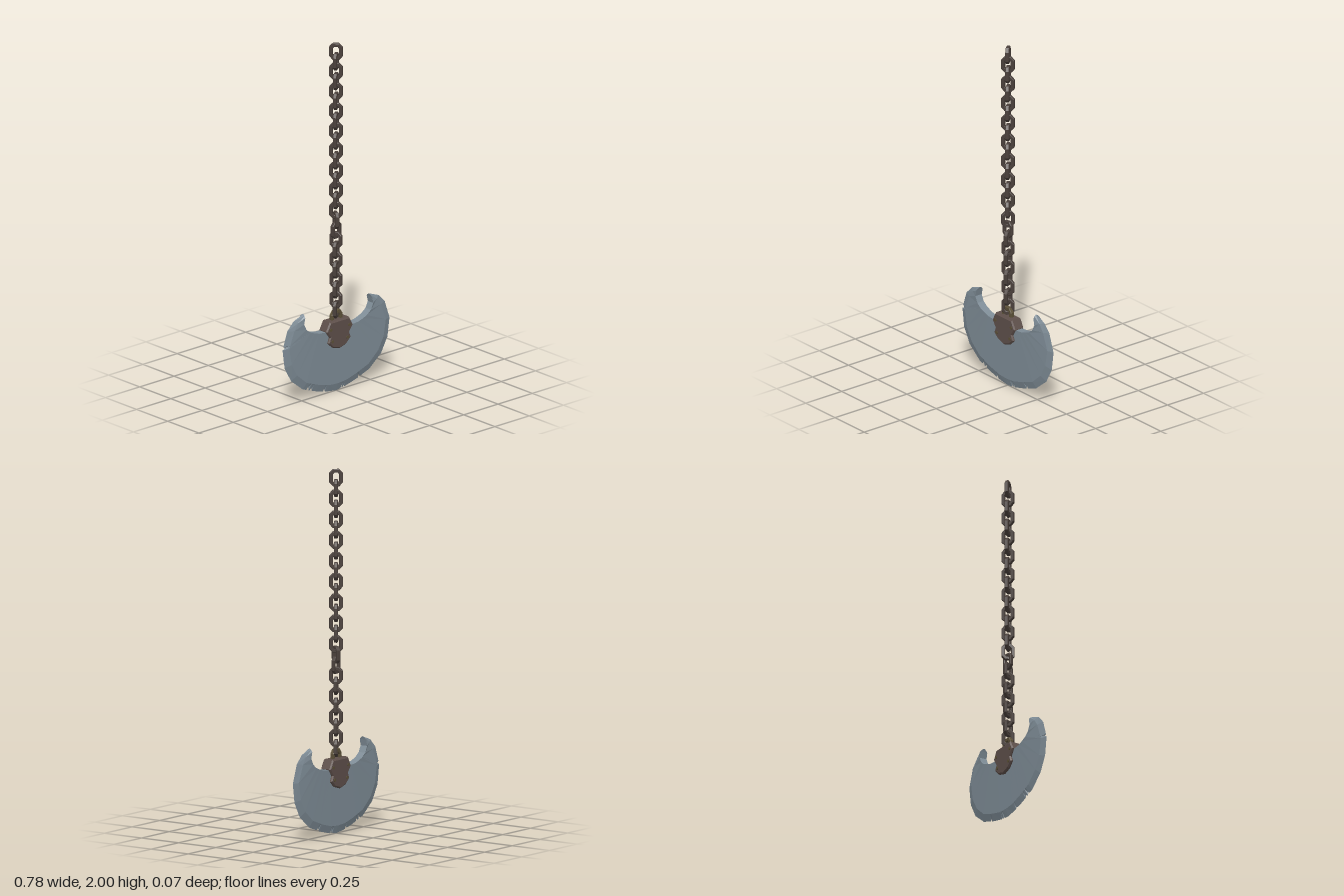
import * as THREE from 'three';

const material = (name, color) => {
  const m = new THREE.MeshStandardMaterial({ color });
  m.name = name;
  return m;
};

const mirrorOutline = (half) => [...half, ...half.slice().reverse().filter((p) => p[0] !== 0).map(([x, y]) => [-x, y])];
const toVectors = (points) => points.map(([x, y]) => new THREE.Vector2(x, y));

// Rectangle with chamfered corners
const octagon = (w, h, c, d) => mirrorOutline([[w - c, -h], [w, -h + d], [w, h - d], [w - c, h]]);

// Chamfered plate centred on z = 0, with an optional hole
function plate(outline, hole, depth, bevel) {
  const shape = new THREE.Shape(toVectors(outline));
  if (hole) shape.holes.push(new THREE.Path(toVectors(hole)));
  const geometry = new THREE.ExtrudeGeometry(shape, {
    depth: depth - 2 * bevel, bevelEnabled: true, bevelSegments: 1,
    bevelSize: bevel, bevelThickness: bevel, bevelOffset: -bevel,
  });
  return geometry.translate(0, 0, bevel - depth / 2);
}

// Half blade from middle to horn: cutting edge, bevel line, inner edge (x, y each)
const STATIONS = [
  [0, 0.005, 0, 0.048, 0, 0.365],
  [0.063, 0.013, 0.06, 0.052, 0.04, 0.365],
  [0.148, 0.035, 0.135, 0.072, 0.075, 0.365],
  [0.243, 0.069, 0.225, 0.105, 0.11, 0.367],
  [0.328, 0.137, 0.295, 0.165, 0.143, 0.37],
  [0.375, 0.222, 0.335, 0.235, 0.175, 0.38],
  [0.39, 0.328, 0.352, 0.33, 0.205, 0.392],
  [0.355, 0.43, 0.315, 0.425, 0.235, 0.415],
  [0.31, 0.476, 0.285, 0.465, 0.252, 0.45],
  [0.238, 0.503, 0.241, 0.495, 0.244, 0.485],
];
// Chips in the cutting edge: position along the blade, depth
const CHIPS = [[-6.1, 0.3], [-2.65, 0.45], [-2.4, 0.3], [-1.3, 0.3], [0.6, 0.4], [0.85, 0.25], [2.2, 0.35]];

function bladeRing(s, chip) {
  const a = Math.abs(s);
  const i = Math.min(Math.floor(a), STATIONS.length - 2);
  const p = STATIONS[i].map((v, k) => THREE.MathUtils.lerp(v, STATIONS[i + 1][k], a - i));
  const side = s < 0 ? -1 : 1;
  const ox = THREE.MathUtils.lerp(p[0], p[2], chip);
  const oy = THREE.MathUtils.lerp(p[1], p[3], chip);
  return [
    [side * p[4], p[5], 0.022], [side * p[2], p[3], 0.013], [side * ox, oy, 0],
    [side * p[2], p[3], -0.013], [side * p[4], p[5], -0.022],
  ];
}

function bladeGeometry() {
  const samples = [];
  for (let s = -9; s <= 9; s++) samples.push([s, 0]);
  for (const [s, depth] of CHIPS) samples.push([s - 0.08, 0], [s - 0.03, depth], [s + 0.04, depth * 0.8], [s + 0.08, 0]);
  samples.sort((a, b) => a[0] - b[0]);
  const rings = samples.map(([s, chip]) => bladeRing(s, chip));
  const positions = [];
  const triangle = (a, b, c) => positions.push(...a, ...b, ...c);
  for (let i = 0; i < rings.length - 1; i++) {
    for (let j = 0; j < 5; j++) {
      const k = (j + 1) % 5;
      triangle(rings[i][j], rings[i][k], rings[i + 1][k]);
      triangle(rings[i][j], rings[i + 1][k], rings[i + 1][j]);
    }
  }
  // Horn tips
  const first = rings[0], last = rings[rings.length - 1];
  for (let k = 1; k < 4; k++) {
    triangle(first[0], first[k + 1], first[k]);
    triangle(last[0], last[k], last[k + 1]);
  }
  const geometry = new THREE.BufferGeometry();
  geometry.setAttribute('position', new THREE.Float32BufferAttribute(positions, 3));
  geometry.computeVertexNormals();
  return geometry;
}

export function createModel() {
  const model = new THREE.Group();
  model.name = 'chainBlade';
  const steel = material('blueGreySteel', 0x7f8d97);
  const iron = material('darkIron', 0x4a403b);
  const hubMetal = material('brownHubMetal', 0x5e4f4a);
  const bronze = material('agedBronze', 0x5c5138);
  const add = (parent, name, geometry, mat) => {
    const mesh = new THREE.Mesh(geometry, mat);
    mesh.name = name;
    parent.add(mesh);
    return mesh;
  };

  add(model, 'blade', bladeGeometry(), steel);

  // Clamp holding the blade
  const hubOutline = mirrorOutline([
    [0, 0.253], [0.05, 0.268], [0.083, 0.3], [0.071, 0.33], [0.097, 0.368], [0.07, 0.418],
  ]);
  add(model, 'hub', plate(hubOutline, null, 0.066, 0.007), hubMetal);

  // Rivets on both faces
  const rivetGeometry = new THREE.CylinderGeometry(0.009, 0.009, 0.072, 8).rotateX(Math.PI / 2);
  for (const x of [-1, 1]) {
    for (const [rx, ry] of [[0.067, 0.375], [0.055, 0.306]]) {
      add(model, 'rivet', rivetGeometry, bronze).position.set(x * rx, ry, 0);
    }
  }

  // Shackle on top of the hub
  const shackle = add(model, 'shackle',
    plate(octagon(0.04, 0.045, 0.018, 0.025), octagon(0.021, 0.024, 0.009, 0.012), 0.022, 0.003), bronze);
  shackle.position.y = 0.424;

  // Chain of alternating links with a twist in the lower part
  const chain = new THREE.Group();
  chain.name = 'chain';
  model.add(chain);
  const linkGeometry = plate(octagon(0.036, 0.047, 0.019, 0.02), octagon(0.017, 0.028, 0.008, 0.01), 0.02, 0.003);
  for (let i = 0; i < 27; i++) {
    const twist = i < 17 ? 0 : Math.min((i - 16) * 27, 80);
    const link = add(chain, 'chainLink', linkGeometry, iron);
    link.position.y = 1.953 - i * 0.057;
    link.rotation.y = THREE.MathUtils.degToRad((i % 2 ? 35 : -48) + twist);
  }
  return model;
}
